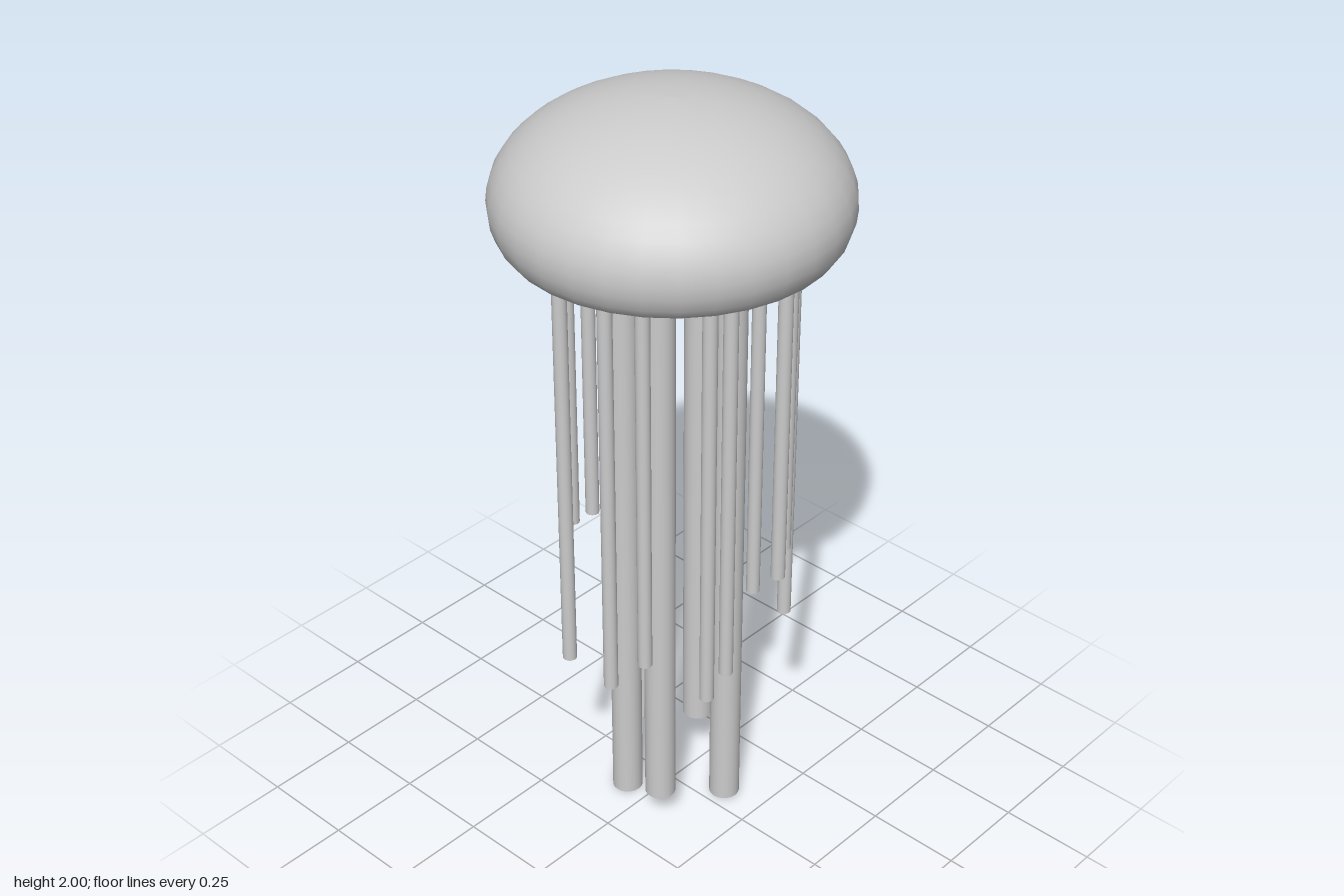
import * as THREE from 'three';

const UNDERSIDE = 1.66;

// Squashed sphere whose lower part is flattened to a level underside
function makeBell(material) {
  const radius = 0.427, height = 0.25, centre = 1.75, rings = 24;
  const profile = [];
  for (let i = 0; i <= rings; i++) {
    const a = -Math.PI / 2 + (Math.PI * i) / rings;
    const y = Math.max(UNDERSIDE, centre + height * Math.sin(a));
    profile.push(new THREE.Vector2(Math.max(0, radius * Math.cos(a)), y));
  }
  const bell = new THREE.Mesh(new THREE.LatheGeometry(profile, 32), material);
  bell.name = 'bell';
  return bell;
}

// Straight hanging rods, each given as [x, z, bottom y]
function makeTentacles(name, radius, sides, spots, material) {
  const group = new THREE.Group();
  group.name = name + 's';
  spots.forEach(([x, z, bottom]) => {
    const length = UNDERSIDE + 0.005 - bottom;
    const rod = new THREE.Mesh(new THREE.CylinderGeometry(radius, radius, length, sides), material);
    rod.position.set(x, bottom + length / 2, z);
    rod.name = name;
    group.add(rod);
  });
  return group;
}

export function createModel() {
  const material = new THREE.MeshStandardMaterial({ color: 0xcccccc });
  const model = new THREE.Group();
  model.name = 'jellyfish';
  model.add(makeBell(material));

  // Inner ring of long, thick arms
  model.add(makeTentacles('thickTentacle', 0.04, 20, [
    [0.10, 0, 0.175],
    [0.06, 0.133, 0],
    [-0.122, 0.07, 0.08],
    [-0.096, -0.074, 0],
    [0.042, -0.152, 0.13],
  ], material));

  // Outer ring of shorter, thin tentacles
  model.add(makeTentacles('thinTentacle', 0.018, 16, [
    [0.24, 0.065, 0.53],
    [0.23, 0.18, 0.53],
    [0.17, 0.222, 0.785],
    [0.065, 0.293, 0.785],
    [-0.063, 0.24, 0.53],
    [-0.17, 0.272, 0.53],
    [-0.25, 0.14, 0.61],
    [-0.294, 0.065, 0.53],
    [-0.283, -0.09, 0.53],
    [-0.135, -0.218, 0.81],
    [0.02, -0.302, 0.72],
    [0.145, -0.288, 0.72],
  ], material));
  return model;
}
